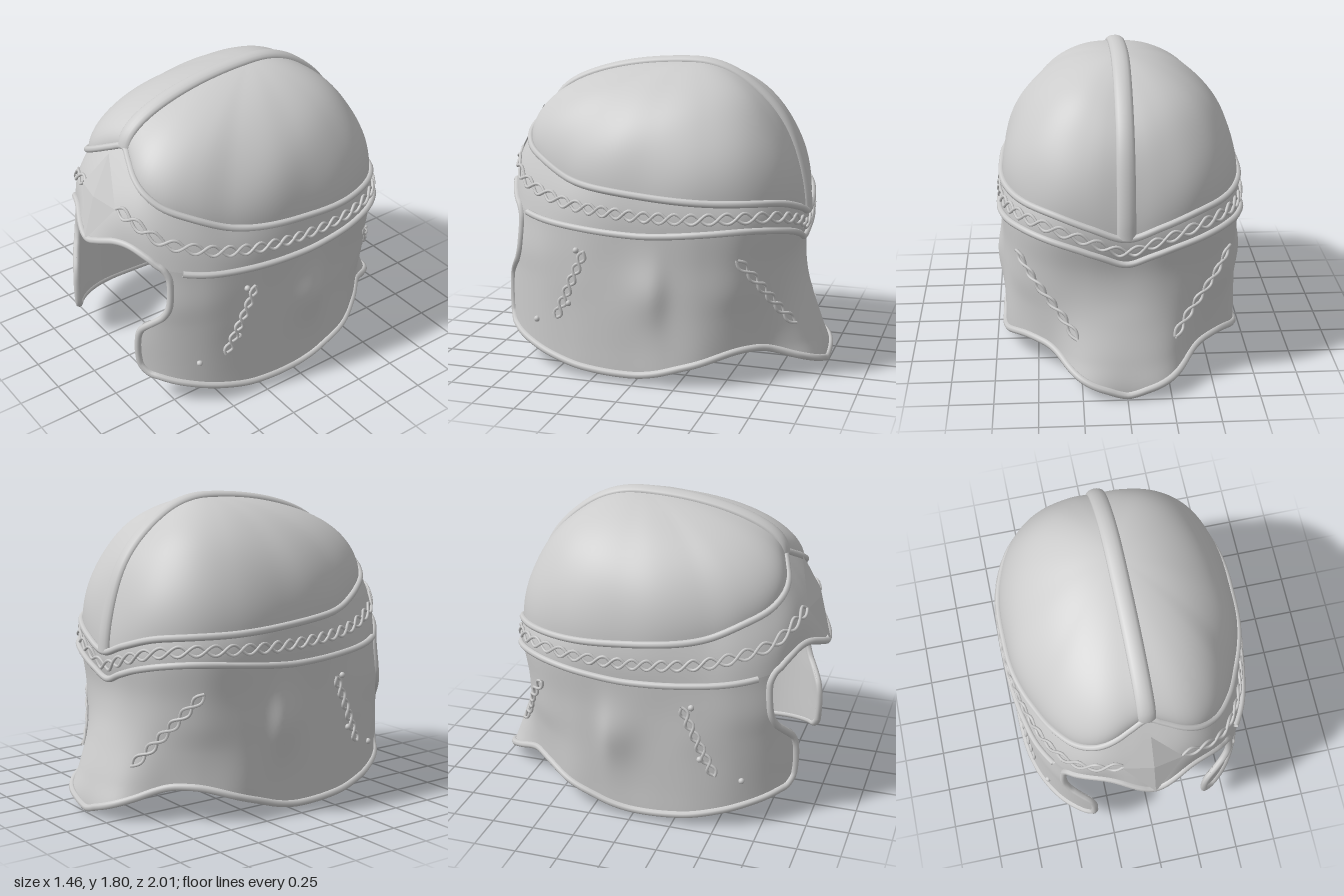
import * as THREE from 'three';

const steel = new THREE.MeshStandardMaterial({ color: 0xcccccc, side: THREE.DoubleSide });
steel.name = 'steel';

// Smooth interpolation through [x, y] pairs, clamped at the ends
function interp(t, x) {
  const n = t.length - 1;
  if (x <= t[0][0]) return t[0][1];
  if (x >= t[n][0]) return t[n][1];
  let i = 0;
  while (x > t[i + 1][0]) i++;
  const slope = (k) => {
    const a = t[Math.max(k - 1, 0)], b = t[Math.min(k + 1, n)];
    return (k === 0 || k === n) ? 0 : (b[1] - a[1]) / (b[0] - a[0]);
  };
  const h = t[i + 1][0] - t[i][0], s = (x - t[i][0]) / h, s2 = s * s, s3 = s2 * s;
  return (2 * s3 - 3 * s2 + 1) * t[i][1] + (s3 - 2 * s2 + s) * h * slope(i)
    + (3 * s2 - 2 * s3) * t[i + 1][1] + (s3 - s2) * h * slope(i + 1);
}

// Angles are degrees from the front; both sides are mirror images
const fold = (a) => Math.abs(((a + 540) % 360) - 180);
const polar = (a, r, y) => {
  const t = THREE.MathUtils.degToRad(a);
  return new THREE.Vector3(r * Math.sin(t), y, r * Math.cos(t));
};
const lerp = THREE.MathUtils.lerp;

// Wall radius every 15 degrees, at several heights
const wall = [
  [0.02, [1, 0.975, 0.935, 0.86, 0.785, 0.725, 0.7, 0.72, 0.765, 0.79, 0.83, 0.985, 0.985]],
  [0.2, [1, 0.97, 0.93, 0.86, 0.78, 0.72, 0.695, 0.718, 0.768, 0.79, 0.825, 0.93, 0.945]],
  [0.4, [1, 0.97, 0.93, 0.86, 0.775, 0.716, 0.695, 0.718, 0.765, 0.8, 0.83, 0.868, 0.878]],
  [0.55, [1, 0.96, 0.93, 0.86, 0.775, 0.712, 0.695, 0.718, 0.768, 0.82, 0.84, 0.84, 0.835]],
  [0.7, [0.97, 0.95, 0.932, 0.86, 0.77, 0.71, 0.695, 0.718, 0.77, 0.83, 0.85, 0.835, 0.82]],
  [0.95, [0.98, 0.925, 0.91, 0.84, 0.76, 0.715, 0.7, 0.725, 0.785, 0.85, 0.88, 0.865, 0.845]],
].map(([y, rs]) => [y, rs.map((r, i) => [i * 15, r])]);

// Edge curves by angle
const bottomY = [[0, 0.2], [22, 0.2], [37, 0.15], [51, 0.1], [66, 0.06], [88, 0.045], [100, 0.065],
  [114, 0.12], [134, 0.195], [146, 0.2], [153, 0.175], [160, 0.13], [168, 0.082], [174, 0.05], [180, 0.02]];
const lowY = [[0, 0.97], [6, 1.0], [12, 1.03], [19, 1.03], [26, 0.99], [31, 0.94], [36, 0.925], [45, 0.905],
  [60, 0.885], [90, 0.87], [105, 0.88], [120, 0.9], [135, 0.915], [148, 0.9], [160, 0.86], [170, 0.81], [180, 0.76]];
const highY = [[0, 1.48], [7.7, 1.44], [14.6, 1.39], [21, 1.34], [29, 1.28], [40, 1.22], [56, 1.14], [82, 1.105],
  [121, 1.07], [140, 1.06], [153, 1.04], [167, 0.98], [180, 0.92]];
const highR = [[0, 0.705], [7.7, 0.742], [14.6, 0.792], [21, 0.82], [29, 0.817], [40, 0.775], [56, 0.715], [82, 0.685],
  [98, 0.693], [121, 0.765], [140, 0.838], [153, 0.862], [167, 0.857], [180, 0.848]];
// Angle of the face opening by height
const openingA = [[0.2, 24], [0.25, 22], [0.4, 21.4], [0.5, 22.8], [0.57, 27.5], [0.62, 31], [0.7, 33.4], [0.85, 33.5], [0.93, 32.5]];

// Point on the wall, with the raised ear shape (steeper at its rear edge)
function wallAt(a, y, off = 0) {
  const f = fold(a);
  const r = interp(wall.map(([h, rs]) => [h, interp(rs, f)]), y);
  const ear = 0.036 * Math.exp(-(((f - 99) / (f < 99 ? 11 : 6)) ** 2) - ((y - 0.54) / 0.17) ** 2);
  return polar(a, r + ear + off, y);
}

// Point on the brow band, v from lower to upper edge
function bandAt(a, v, off = 0) {
  const f = fold(a), y0 = interp(lowY, f), y1 = interp(highY, f);
  const low = wallAt(a, y0), r0 = Math.hypot(low.x, low.z);
  const bulge = (0.008 + 0.03 * Math.exp(-((f / 30) ** 2))) * Math.sin(Math.PI * v);
  return polar(a, lerp(r0, interp(highR, f), v) + bulge + off, lerp(y0, y1, v));
}

// Point on the dome, v from band to crown, with soft hammered dents
const crown = new THREE.Vector3(0, 1.77, -0.15);
function domeAt(a, v) {
  const base = bandAt(a, 1), t = v * Math.PI / 2, c = Math.cos(t), s = Math.sin(t);
  const p = new THREE.Vector3(lerp(crown.x, base.x, c), lerp(base.y, crown.y, s), lerp(crown.z, base.z, c));
  const dent = 1 + Math.sin(2 * t) * (0.012 * Math.sin(9 * p.x + 2) * Math.sin(8 * p.z + 5 * p.y) - 0.01);
  p.x *= dent;
  p.z *= dent;
  return p;
}

// Point on the wall below the band, u from one cheek edge round to the other
function guardAt(u, v, off) {
  const a0 = interp(openingA, lerp(0.2, 0.93, v)), a = lerp(a0, 360 - a0, u), f = fold(a);
  return wallAt(a, lerp(interp(bottomY, f), interp(lowY, f), v), off);
}

// Smooth sheet from a rule f(u, v)
function sheet(nu, nv, f) {
  const pos = [], idx = [];
  for (let j = 0; j <= nv; j++) for (let i = 0; i <= nu; i++) pos.push(...f(i / nu, j / nv).toArray());
  for (let j = 0; j < nv; j++) for (let i = 0; i < nu; i++) {
    const a = j * (nu + 1) + i, b = a + nu + 1;
    idx.push(a, a + 1, b + 1, a, b + 1, b);
  }
  const g = new THREE.BufferGeometry();
  g.setAttribute('position', new THREE.Float32BufferAttribute(pos, 3));
  g.setIndex(idx);
  g.computeVertexNormals();
  return g;
}

const sample = (n, f) => Array.from({ length: n + 1 }, (_, i) => f(i / n));
const tube = (pts, r, closed = false, sides = 8) =>
  new THREE.TubeGeometry(new THREE.CatmullRomCurve3(pts, closed), pts.length * 2, r, sides, closed);

export function createModel() {
  const helmet = new THREE.Group();
  helmet.name = 'helmet';
  const add = (name, geo) => {
    const m = new THREE.Mesh(geo, steel);
    m.name = name;
    helmet.add(m);
    return m;
  };
  // Two crossing strands along a path; at(t, side, off) gives a surface point
  const braid = (name, links, at) => {
    for (const k of [-1, 1]) {
      add(name, tube(sample(links * 8, (t) => {
        const w = t * links * Math.PI;
        return at(t, 0.028 * k * Math.sin(w), 0.009 + 0.005 * k * Math.cos(w));
      }), 0.009, false, 6));
    }
  };

  // Outer shell
  add('dome', sheet(120, 28, (u, v) => domeAt(-180 + 360 * u, v)));
  add('browBand', sheet(144, 10, (u, v) => bandAt(-180 + 360 * u, v)));
  add('cheekAndNeckGuard', sheet(160, 32, (u, v) => guardAt(u, v, 0)));

  // Inner lining, just inside the shell
  const middle = new THREE.Vector3(0, 1, -0.05);
  add('domeLining', sheet(72, 16, (u, v) => domeAt(180 - 360 * u, v).lerp(middle, 0.035)));
  add('bandLining', sheet(144, 10, (u, v) => bandAt(180 - 360 * u, v, -0.014 - 0.012 * v)));
  add('guardLining', sheet(160, 32, (u, v) => guardAt(1 - u, v, -0.014)));

  // Crest ridge, a flattened tube over the crown
  const ridgePts = [...sample(16, (t) => domeAt(0, t)), ...sample(16, (t) => domeAt(180, 1 - t)).slice(1)];
  ridgePts.forEach((p) => { p.x = 0; });
  add('crestRidge', tube(ridgePts, 0.03, false, 14)).scale.x = 1.75;

  // Rolled trims
  add('upperTrim', tube(sample(120, (t) => bandAt(360 * t, 1, 0.006)).slice(0, -1), 0.02, true));
  add('lowerTrim', tube(sample(110, (t) => bandAt(lerp(38, 322, t), 0, 0.01)), 0.019));
  const half = [
    ...sample(14, (t) => bandAt(31 * t, 0)),
    ...sample(24, (t) => { const y = lerp(0.89, 0.225, t); return wallAt(interp(openingA, y), y); }),
    ...sample(50, (t) => { const a = lerp(25.5, 180, t); return wallAt(a, interp(bottomY, a)); }),
  ];
  const mirrored = half.slice(1, -1).reverse().map((p) => new THREE.Vector3(-p.x, p.y, p.z));
  add('edgeTrim', tube([...half, ...mirrored], 0.021, true));

  // Braid around the band, lying along its slope
  braid('bandBraid', 50, (t, s, off) => {
    const a = lerp(11, 349, t), f = fold(a);
    return bandAt(a, 0.5 + s / (interp(highY, f) - interp(lowY, f)), off);
  });

  // Diagonal braids and rivets on each side
  for (const side of [-1, 1]) {
    for (const [a0, y0, a1, y1] of [[66.5, 0.75, 53.5, 0.33], [133.5, 0.75, 162, 0.31]]) {
      const dx = (a1 - a0) * 0.0135, dy = y1 - y0, len = Math.hypot(dx, dy);
      braid('sideBraid', 6, (t, s, off) =>
        wallAt(side * (lerp(a0, a1, t) - s * 0.8 * dy / len / 0.0135), lerp(y0, y1, t) + s * 0.8 * dx / len, off));
    }
    for (const [a, y] of [[62.5, 0.75], [59, 0.43], [43.5, 0.29]]) {
      const rivet = add('rivet', new THREE.SphereGeometry(0.018, 12, 8));
      rivet.position.copy(wallAt(side * a, y, 0.005));
    }
  }

  // Faceted diamond plate on the brow
  const T = [0, 1.47, 0.81], B = [0, 0.97, 1.0], L = [0.175, 1.22, 0.89], R = [-0.175, 1.22, 0.89], C = [0, 1.23, 0.925];
  const diamond = new THREE.BufferGeometry();
  diamond.setAttribute('position', new THREE.Float32BufferAttribute(
    [C, L, T, C, T, R, C, R, B, C, B, L].flat(), 3));
  diamond.computeVertexNormals();
  add('browDiamond', diamond);

  return helmet;
}
